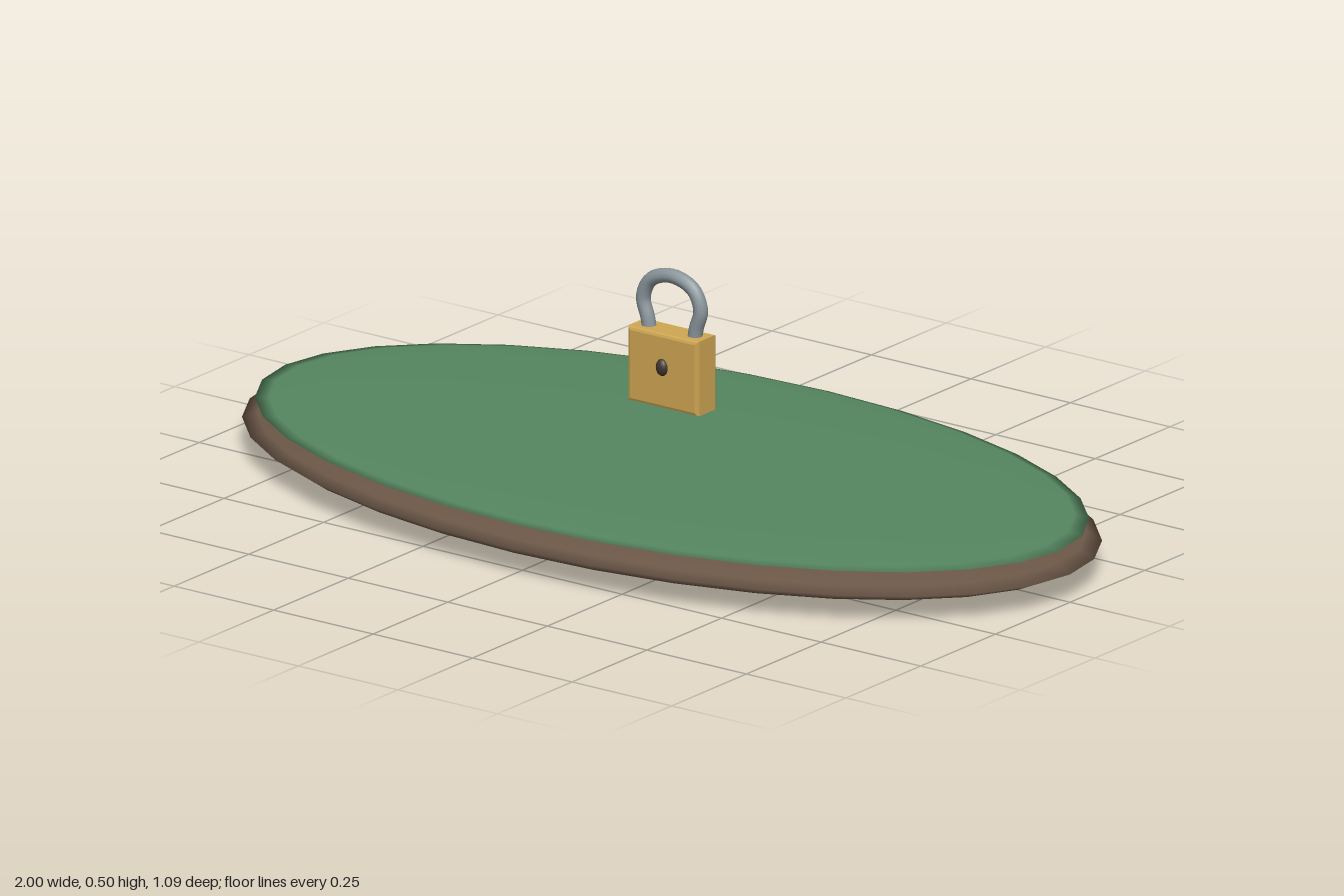
import * as THREE from 'three';

export function createModel() {
  const model = new THREE.Group();
  const mat = (name, color) => {
    const m = new THREE.MeshStandardMaterial({ color });
    m.name = name;
    return m;
  };
  const earth = mat('earth brown', 0x6b5747);
  const grass = mat('grass green', 0x558660);
  const brass = mat('brass', 0xcfa653);
  const steel = mat('steel', 0x8a969c);
  const dark = mat('dark keyhole', 0x40362c);

  const add = (name, geometry, material, parent = model) => {
    const mesh = new THREE.Mesh(geometry, material);
    mesh.name = name;
    parent.add(mesh);
    return mesh;
  };
  const ellipsoid = (name, material, segs, pos, radii, parent) => {
    const mesh = add(name, new THREE.SphereGeometry(1, ...segs), material, parent);
    mesh.position.set(...pos);
    mesh.scale.set(...radii);
    return mesh;
  };

  // Flattened ground mound with a thinner grass layer on it
  ellipsoid('groundBase', earth, [32, 12], [0, 0.059, 0], [1, 0.059, 0.545]);
  ellipsoid('grassLayer', grass, [32, 12], [0, 0.103, 0], [0.972, 0.019, 0.523]);

  // Floating padlock
  const padlock = new THREE.Group();
  padlock.name = 'padlock';
  model.add(padlock);

  // Body: rectangle extruded front to back with bevelled faces
  const b = 0.007, w = 0.088 - b, h = 0.079 - b, depth = 0.066 - 2 * b;
  const outline = new THREE.Shape([
    new THREE.Vector2(-w, -h), new THREE.Vector2(w, -h),
    new THREE.Vector2(w, h), new THREE.Vector2(-w, h),
  ]);
  const bodyGeo = new THREE.ExtrudeGeometry(outline, {
    depth, bevelEnabled: true, bevelSize: b, bevelThickness: b, bevelSegments: 2,
  });
  bodyGeo.translate(0, 0, -depth / 2);
  add('lockBody', bodyGeo, brass, padlock).position.y = 0.295;

  // Shackle: round bar whose legs draw in toward the body
  const half = [[0.055, 0.355], [0.061, 0.39], [0.072, 0.43], [0.053, 0.471]];
  const points = [
    ...half.map(([x, y]) => new THREE.Vector3(-x, y, 0)),
    new THREE.Vector3(0, 0.489, 0),
    ...half.slice().reverse().map(([x, y]) => new THREE.Vector3(x, y, 0)),
  ];
  add('shackle', new THREE.TubeGeometry(new THREE.CatmullRomCurve3(points), 40, 0.015, 12), steel, padlock);

  // Domed keyhole on the front face
  ellipsoid('keyhole', dark, [16, 10], [0, 0.304, 0.033], [0.014, 0.018, 0.011], padlock);

  return model;
}
